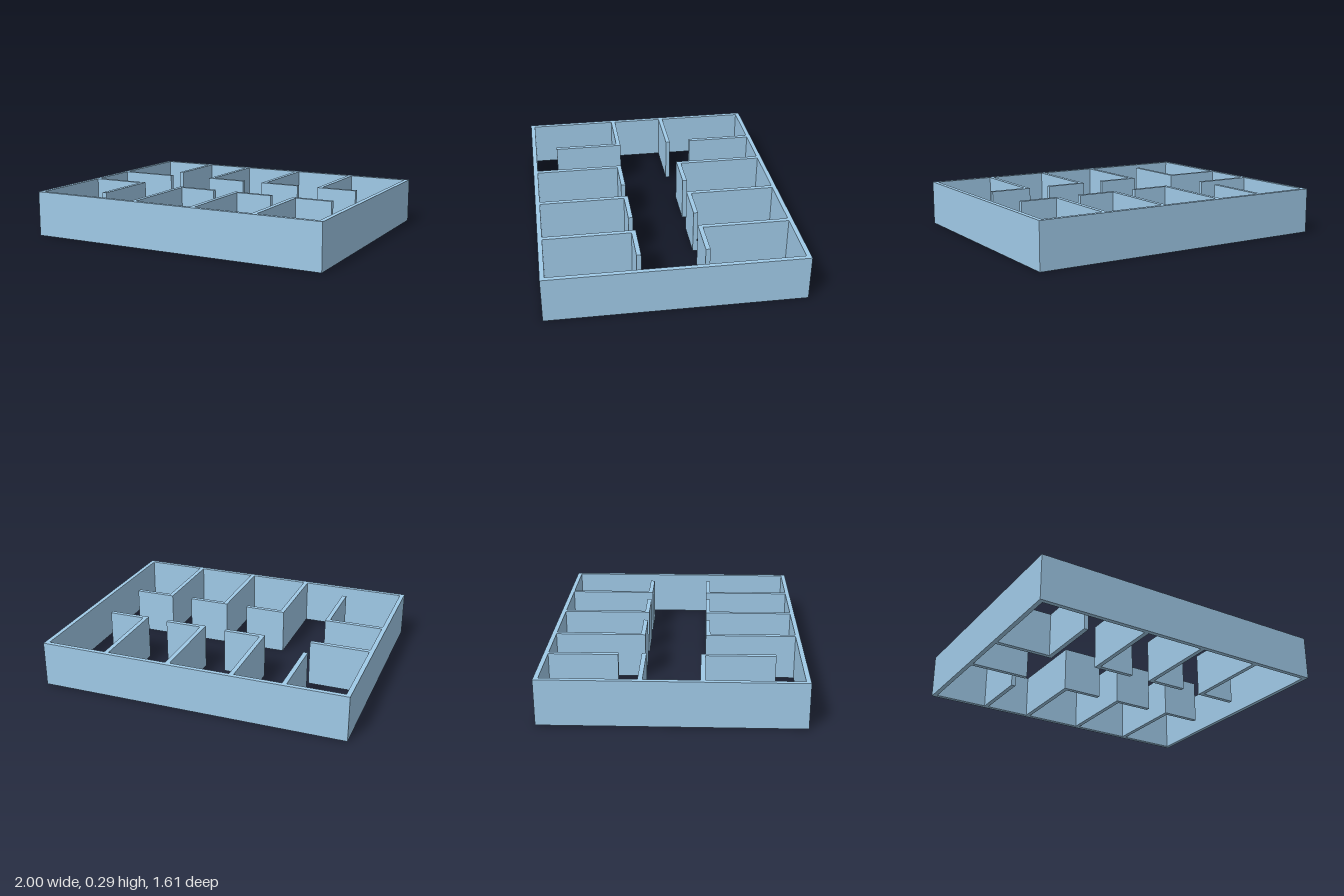
import * as THREE from 'three';

const H = 0.293;  // wall height
const T = 0.029;  // wall thickness
const X = 1, Z = 0.805; // half extents of the plan

export function createModel() {
  const model = new THREE.Group();
  model.name = 'floorPlanWalls';
  const material = new THREE.MeshStandardMaterial({ color: 0xa0cae8 });

  // Plan outlines are [x, z] points; they are extruded upwards to wall height.
  // A hole runs the opposite way round so that its faces look inwards.
  const toPoints = (plan) => plan.map(([x, z]) => new THREE.Vector2(x, -z));
  const addWall = (name, plan, hole) => {
    const shape = new THREE.Shape(toPoints(plan));
    if (hole) shape.holes.push(new THREE.Path(toPoints(hole).reverse()));
    const geometry = new THREE.ExtrudeGeometry(shape, { depth: H, bevelEnabled: false });
    geometry.rotateX(-Math.PI / 2);
    const mesh = new THREE.Mesh(geometry, material);
    mesh.name = name;
    model.add(mesh);
  };
  const rect = (x0, z0, x1, z1) => [[x0, z0], [x1, z0], [x1, z1], [x0, z1]];

  // Outer walls
  const ix = X - T, iz = Z - T;
  addWall('outerWalls', rect(-X, -Z, X, Z), rect(-ix, -iz, ix, iz));

  // Mirrored L-shaped room dividers, three on each side of the corridor
  for (const x of [-0.284, 0.133, 0.55]) {
    for (const [side, s] of [['back', -1], ['front', 1]]) {
      const near = 0.196 * s, far = iz * s, inner = near + T * s;
      addWall(`${side}RoomDivider`, [
        [x, far], [x, near], [x + 0.272, near],
        [x + 0.272, inner], [x + T, inner], [x + T, far],
      ]);
    }
  }

  // Back corner room: a divider from the back wall and a separate corridor wall
  const r = -0.586;
  addWall('backCornerDivider', rect(r - T, -iz, r, -0.343));
  addWall('backCorridorWall', rect(-ix, -0.198, r, -0.169));

  // Front corner room: corridor wall turning towards the front, with a door gap
  addWall('frontCornerWall', [
    [-ix, 0.167], [r, 0.167], [r, 0.63],
    [r - T, 0.63], [r - T, 0.167 + T], [-ix, 0.167 + T],
  ]);

  return model;
}
